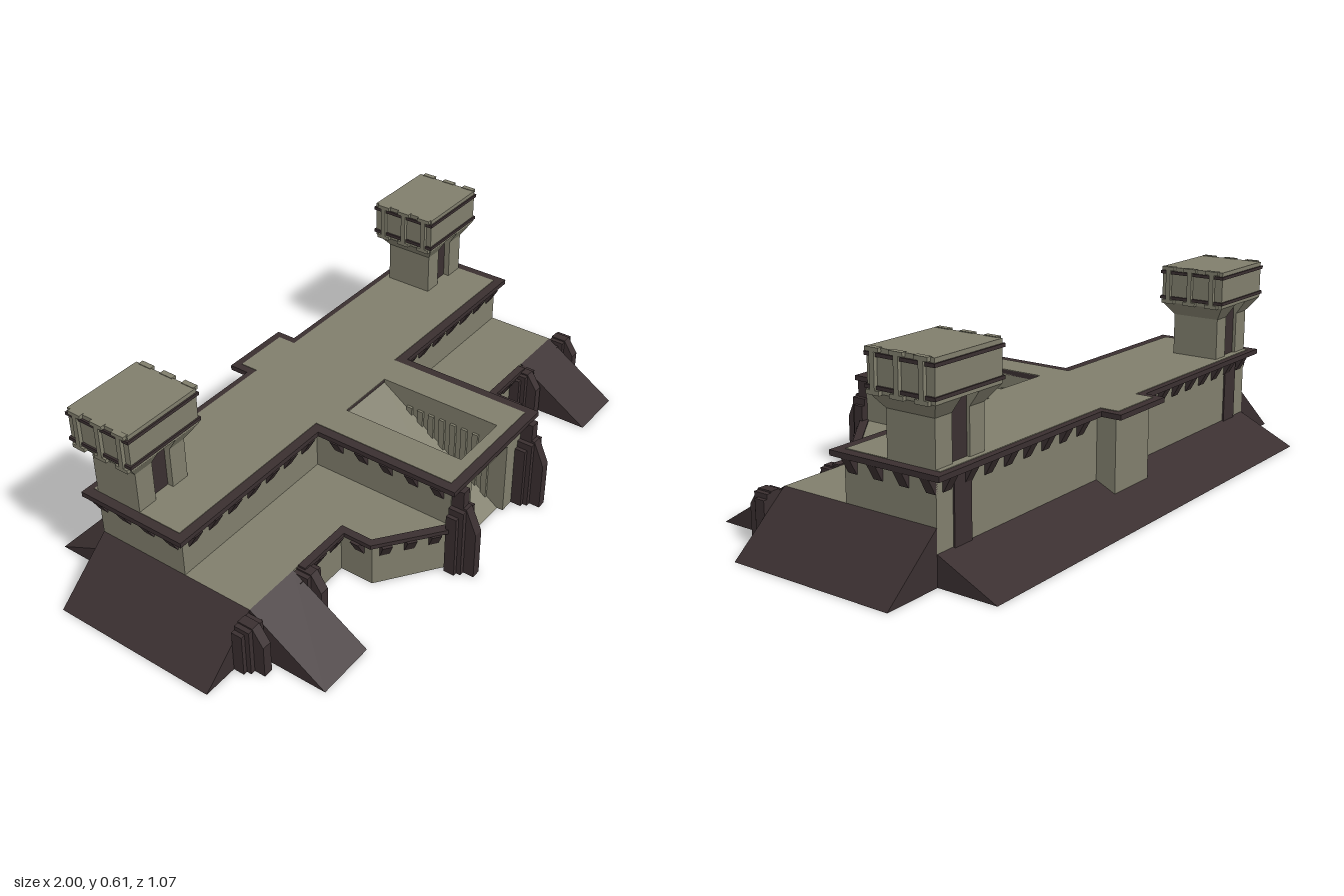
import * as THREE from 'three';

export function createModel() {
  const model = new THREE.Group();
  const stone = new THREE.MeshStandardMaterial({ color: 0x807e6c, flatShading: true });
  stone.name = 'stone';
  const brown = new THREE.MeshStandardMaterial({ color: 0x3a2f30, flatShading: true });
  brown.name = 'dark brown';

  function add(name, geometry, material) {
    const mesh = new THREE.Mesh(geometry, material);
    mesh.name = name;
    model.add(mesh);
    return mesh;
  }
  // box given by its limits
  function box(name, x0, x1, y0, y1, z0, z1, mat) {
    const m = add(name, new THREE.BoxGeometry(Math.abs(x1 - x0), y1 - y0, z1 - z0), mat);
    m.position.set((x0 + x1) / 2, (y0 + y1) / 2, (z0 + z1) / 2);
    return m;
  }
  // upright slab from a mirrored half plan of [x, z] points
  const outline = half => [...half, ...half.slice().reverse().map(([x, z]) => [-x, z])]
    .map(([x, z]) => new THREE.Vector2(x, -z));
  function slab(name, half, y0, y1, mat, hole) {
    const shape = new THREE.Shape(outline(half));
    if (hole) shape.holes.push(new THREE.Path(outline(hole)));
    const g = new THREE.ExtrudeGeometry(shape, { depth: y1 - y0, bevelEnabled: false });
    g.rotateX(-Math.PI / 2);
    add(name, g, mat).position.y = y0;
  }
  // prism with an [outward, up] profile, facing direction (nx, nz)
  function prism(name, profile, width, x, y, z, nx, nz, mat) {
    const shape = new THREE.Shape(profile.map(p => new THREE.Vector2(...p)));
    const g = new THREE.ExtrudeGeometry(shape, { depth: width, bevelEnabled: false });
    g.translate(0, 0, -width / 2);
    const m = add(name, g, mat);
    m.position.set(x, y, z);
    m.rotation.y = Math.atan2(-nz, nx);
  }
  // row of wedge brackets hanging under a ledge
  function brackets(name, x0, z0, x1, z1, n, yTop, nx, nz) {
    for (let i = 0; i < n; i++) {
      const t = n > 1 ? i / (n - 1) : 0.5;
      prism(name, [[-0.005, -0.048], [0.003, -0.048], [0.03, 0], [-0.005, 0]], 0.03,
        x0 + (x1 - x0) * t, yTop, z0 + (z1 - z0) * t, nx, nz, brown);
    }
  }
  // box whose lower and upper ends are different rectangles
  function taper(name, bottom, top, y0, y1, mat) {
    const g = new THREE.BoxGeometry(1, 1, 1), p = g.attributes.position;
    for (let i = 0; i < p.count; i++) {
      const up = p.getY(i) > 0, r = up ? top : bottom;
      p.setXYZ(i, p.getX(i) > 0 ? r[1] : r[0], up ? y1 : y0, p.getZ(i) > 0 ? r[3] : r[2]);
    }
    g.computeVertexNormals();
    add(name, g, mat);
  }
  // stepped pier with a sloped front fin
  function pier(name, x, z, h) {
    box(name, x - 0.043, x + 0.043, 0, h * 0.88, z, z + 0.035, brown);
    box(name, x - 0.03, x + 0.03, 0, h * 0.97, z, z + 0.05, brown);
    prism(name + 'Fin', [[0, 0], [0.085, 0], [0.085, h * 0.67], [0.05, h], [0, h]],
      0.03, x, 0, z, 0, 1, brown);
  }

  // lower storey, upper storey and the open entrance slot
  slab('lowerWalls', [[0.1, 0], [0.1, 0.45], [0.21, 0.45], [0.4, 0.31], [0.4, 0.2],
    [0.81, 0.2], [0.81, -0.34], [0.09, -0.34], [0.09, -0.405]], 0, 0.16, stone);
  slab('upperWalls', [[0.1, 0], [0.1, 0.45], [0.21, 0.45], [0.21, -0.03],
    [0.81, -0.03], [0.81, -0.34], [0.09, -0.34], [0.09, -0.405]], 0.16, 0.3, stone);
  box('doorLintel', -0.1, 0.1, 0.25, 0.3, 0.41, 0.45, stone);
  prism('entranceRamp', [[0, 0], [0.43, 0], [0, 0.3]], 0.2, 0, 0, 0, 0, 1, stone);

  // roof ledge and deck
  const slot = [[0.1, 0], [0.1, 0.41]];
  slab('roofLedge', [[0.235, 0.475], [0.235, -0.005], [0.84, -0.005], [0.84, -0.375],
    [0.12, -0.375], [0.12, -0.44]], 0.294, 0.31, brown, slot);
  slab('roofDeck', [[0.205, 0.445], [0.205, -0.035], [0.81, -0.035], [0.81, -0.355],
    [0.095, -0.355], [0.095, -0.415]], 0.3, 0.312, stone, slot);

  // back earthwork
  prism('backRamp', [[0, 0], [0.19, 0], [0, 0.09]], 1.62, 0, 0, -0.34, 0, -1, brown);
  brackets('gateBracket', 0, 0.45, 0, 0.45, 0, 0.294, 0, 1);

  for (const s of [1, -1]) {
    // side and front earthworks
    prism('sideRamp', [[0, 0], [0.19, 0], [0, 0.16]], 0.54, s * 0.81, 0, -0.07, s, 0, brown);
    prism('frontRamp', [[0, 0], [0.25, 0], [0, 0.16]], 0.19, s * 0.715, 0, 0.2, 0, 1, brown);

    // ledge around the terrace bastion
    const ledge = [[0.6, 0.2], [0.6, 0.225], [0.42, 0.225], [0.42, 0.318], [0.23, 0.465],
      [0.205, 0.45], [0.395, 0.305], [0.395, 0.2]];
    const shape = new THREE.Shape(ledge.map(([x, z]) => new THREE.Vector2(s * x, -z)));
    const g = new THREE.ExtrudeGeometry(shape, { depth: 0.014, bevelEnabled: false });
    g.rotateX(-Math.PI / 2);
    add('terraceLedge', g, brown).position.y = 0.15;

    // brackets
    brackets('frontBracket', s * 0.27, -0.03, s * 0.77, -0.03, 7, 0.296, 0, 1);
    brackets('backBracket', s * 0.18, -0.34, s * 0.77, -0.34, 8, 0.296, 0, -1);
    brackets('sideBracket', s * 0.81, -0.06, s * 0.81, -0.325, 4, 0.296, s, 0);
    brackets('gatehouseBracket', s * 0.21, 0.41, s * 0.21, 0.055, 5, 0.296, s, 0);
    brackets('terraceBracket', s * 0.44, 0.2, s * 0.52, 0.2, 2, 0.152, 0, 1);
    brackets('terraceBracket', s * 0.4, 0.25, s * 0.4, 0.285, 1, 0.152, s, 0);
    brackets('terraceBracket', s * 0.37, 0.332, s * 0.25, 0.4205, 3, 0.152, s * 0.593, 0.805);

    // piers beside the gate and the front ramps
    pier('gatePier', s * 0.192, 0.45, 0.24);
    box('gatePierNeck', s * 0.177, s * 0.207, 0.22, 0.296, 0.45, 0.49, brown);
    pier('rampPier', s * 0.592, 0.2, 0.158);
    pier('rampPier', s * 0.845, 0.2, 0.158);

    // ribs lining the entrance slot
    for (let i = 0; i < 10; i++) {
      const z = 0.02 + i * 0.04;
      box('slotRib', s * 0.092, s * 0.102, 0, 0.25, z - 0.01, z + 0.01, stone);
    }

    // watchtower: two pillars, flared capitals and a recessed dark core
    for (const [inner, outer, flare] of [[0.675, 0.615, 0.58], [0.745, 0.81, 0.845]]) {
      const range = (a, b) => [Math.min(s * a, s * b), Math.max(s * a, s * b)];
      box('towerPillar', s * inner, s * outer, 0.3, 0.445, -0.34, -0.18, stone);
      taper('towerCapital', [...range(inner, outer), -0.34, -0.18],
        [...range(inner, flare), -0.372, -0.152], 0.445, 0.49, stone);
    }
    box('towerCore', s * 0.675, s * 0.745, 0.3, 0.49, -0.33, -0.2, brown);
    box('backStrip', s * 0.675, s * 0.745, 0.06, 0.3, -0.345, -0.336, brown);
    box('towerCabin', s * 0.58, s * 0.845, 0.49, 0.608, -0.372, -0.152, stone);
    for (const y of [0.506, 0.59]) {
      box('towerBand', s * 0.574, s * 0.851, y - 0.005, y + 0.005, -0.377, -0.147, brown);
    }

    // cabin ribs with end caps
    for (const z of [-0.337, -0.257, -0.178]) {
      for (const [x0, x1] of [[0.568, 0.585], [0.84, 0.857]]) {
        box('towerRib', s * x0, s * x1, 0.495, 0.6, z - 0.008, z + 0.008, stone);
        for (const y of [0.488, 0.598]) {
          box('towerRibCap', s * x0, s * x1, y, y + 0.012, z - 0.022, z + 0.022, stone);
        }
      }
    }
  }
  return model;
}
